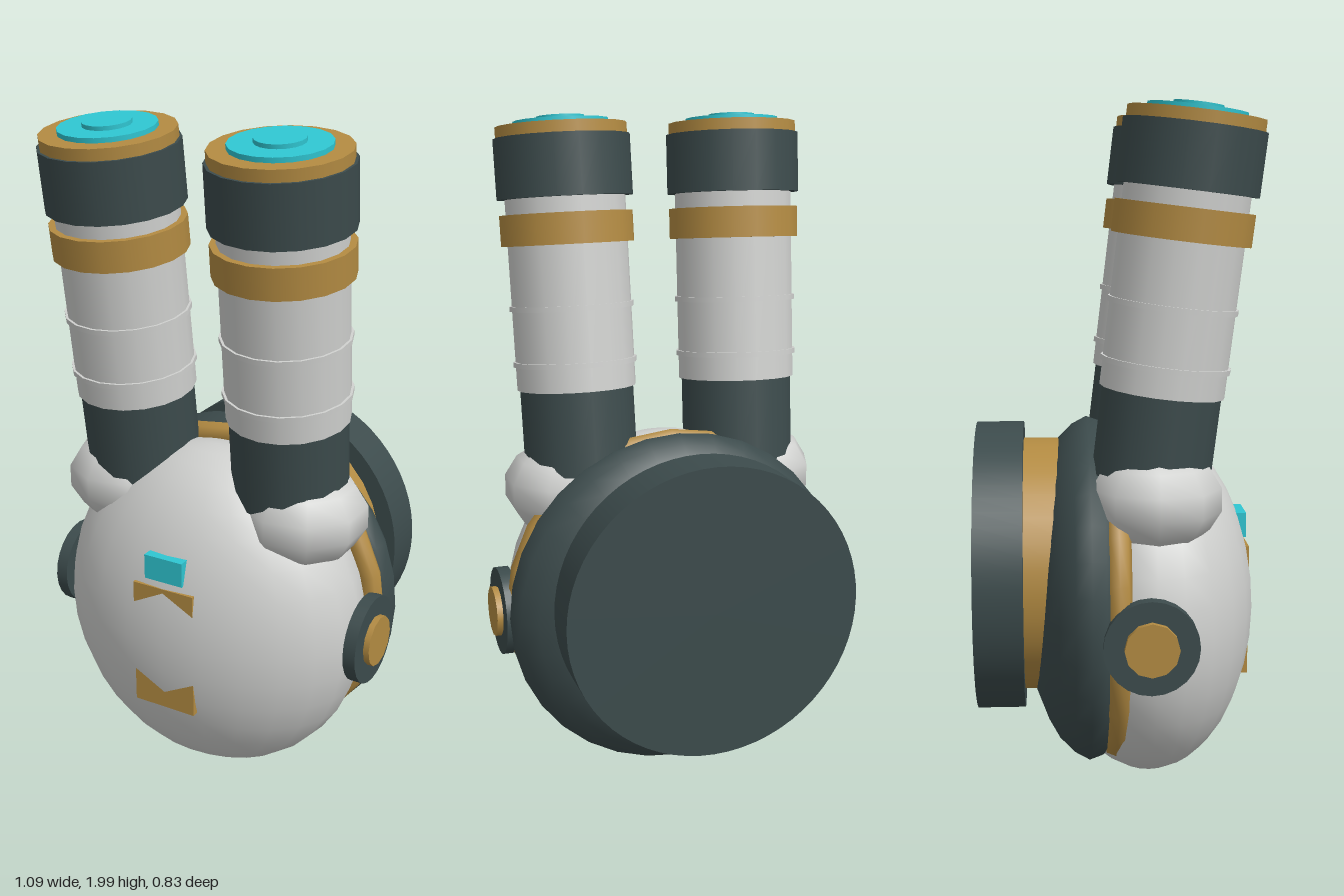
import * as THREE from 'three';

const mat = (name, color) => new THREE.MeshStandardMaterial({ name, color });

export function createModel() {
  const white = mat('shell white', 0xcfd0ce);
  const dark = mat('dark slate', 0x3c4b4c);
  const gold = mat('brass', 0xb38b42);
  const teal = mat('teal glow', 0x2fc6d2);

  const model = new THREE.Group();
  model.name = 'model';
  const add = (parent, name, geometry, material, x = 0, y = 0, z = 0) => {
    const mesh = new THREE.Mesh(geometry, material);
    mesh.name = name;
    mesh.position.set(x, y, z);
    parent.add(mesh);
    return mesh;
  };
  // Cylinder lying along z, between two depths
  const discZ = (name, r, z0, z1, y, material, sides = 64) =>
    add(model, name, new THREE.CylinderGeometry(r, r, z1 - z0, sides).rotateX(Math.PI / 2),
      material, 0, y, (z0 + z1) / 2);

  // Head shell
  add(model, 'headShell', new THREE.SphereGeometry(1, 24, 18).scale(0.49, 0.525, 0.32), white, 0, 0.527, 0.09);

  // Rounded rear housing, revolved around the z axis
  const rear = [[0, -0.25], [0.31, -0.246], [0.4, -0.21], [0.455, -0.178], [0.498, -0.135],
    [0.522, -0.09], [0.508, -0.05], [0.47, -0.01], [0.4, 0.02]].map(([r, z]) => new THREE.Vector2(r, z));
  add(model, 'rearHousing', new THREE.LatheGeometry(rear, 32).rotateX(Math.PI / 2), dark, 0, 0.563, 0);
  add(model, 'seamRing', new THREE.TorusGeometry(0.482, 0.035, 8, 24), gold, 0, 0.563, -0.015);

  // Neck and mounting base
  discZ('neckRing', 0.38, -0.285, -0.15, 0.64, gold, 32);
  discZ('mountBase', 0.433, -0.42, -0.28, 0.638, dark);

  // Face plate mostly buried in the shell, and the indicator light
  add(model, 'facePlate', new THREE.BoxGeometry(0.2, 0.395, 0.06), gold, 0, 0.508, 0.363);
  add(model, 'indicatorLight', new THREE.BoxGeometry(0.125, 0.075, 0.05), teal, 0, 0.763, 0.363);

  // Ear sections: name, radius, bottom, top (along the ear axis), material
  const sections = [
    ['earSocket', 0.17, -0.25, 0, dark],
    ['earShaft', 0.178, 0, 0.57, white],
    ['lowerSeam', 0.185, 0.07, 0.085, white],
    ['upperSeam', 0.185, 0.235, 0.25, white],
    ['earBand', 0.197, 0.425, 0.515, gold],
    ['earCap', 0.201, 0.56, 0.735, dark],
    ['earRim', 0.193, 0.735, 0.768, gold],
    ['earLens', 0.14, 0.768, 0.782, teal],
    ['earLensCentre', 0.07, 0.782, 0.794, teal],
  ];

  for (const side of [-1, 1]) {
    const prefix = side > 0 ? 'left' : 'right';

    // Ear joint and tilted ear
    add(model, prefix + 'EarJoint', new THREE.SphereGeometry(1, 9, 7).scale(0.192, 0.15, 0.192),
      white, side * 0.298, 0.9, 0.095);
    const ear = new THREE.Group();
    ear.name = prefix + 'Ear';
    ear.position.set(side * 0.255, 1.2, 0.115);
    ear.rotation.set(0.12, 0, -side * 0.014);
    for (const [name, r, y0, y1, material] of sections) {
      add(ear, name, new THREE.CylinderGeometry(r, r, y1 - y0, 18), material, 0, (y0 + y1) / 2, 0);
    }
    model.add(ear);

    // Side knob
    const knob = new THREE.Group();
    knob.name = prefix + 'Knob';
    knob.position.set(0, 0.53, 0.07);
    const discX = (name, r, x0, x1, material, sides) =>
      add(knob, name, new THREE.CylinderGeometry(r, r, x1 - x0, sides).rotateZ(Math.PI / 2),
        material, side * (x0 + x1) / 2, 0, 0);
    discX('knobDisc', 0.133, 0.487, 0.525, dark, 24);
    discX('knobCentre', 0.076, 0.5, 0.543, gold, 12);
    model.add(knob);
  }
  return model;
}
